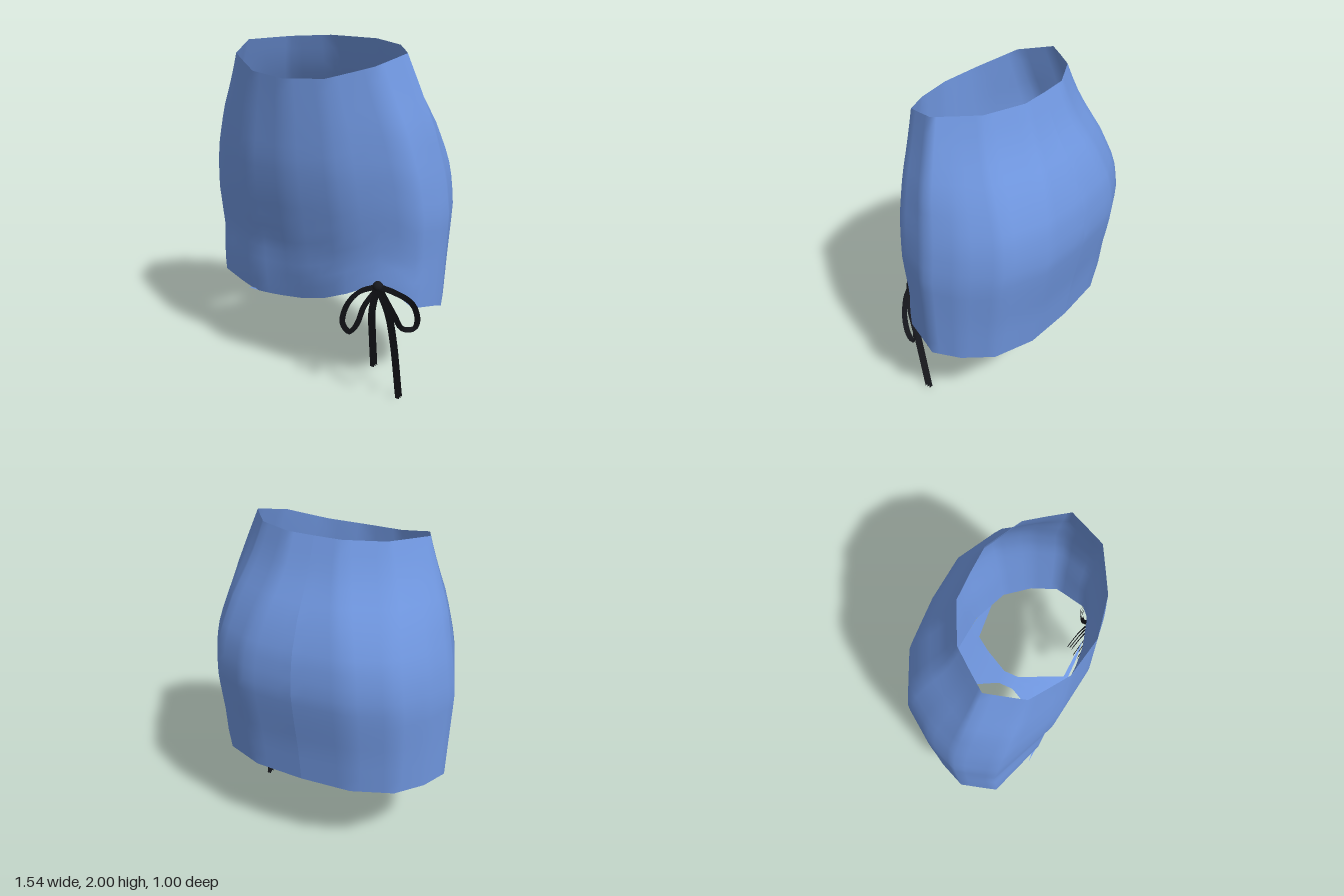
import * as THREE from 'three';

// piecewise-linear lookup in [key, value] pairs with rising keys
function lookup(table, k) {
  if (k <= table[0][0]) return table[0][1];
  for (let i = 1; i < table.length; i++) {
    const [k1, v1] = table[i], [k0, v0] = table[i - 1];
    if (k <= k1) return v0 + (v1 - v0) * (k - k0) / (k1 - k0);
  }
  return table[table.length - 1][1];
}

// silhouette by height
const SIDE = [[0.5, 0.745], [0.8, 0.757], [1.1, 0.77], [1.3, 0.745], [1.6, 0.68], [1.8, 0.605], [1.98, 0.535]];
const FRONT = [[0.5, 0.35], [0.75, 0.4], [0.85, 0.408], [0.92, 0.43], [1, 0.443], [1.2, 0.48], [1.38, 0.5], [1.85, 0.5]];
const BACK = [[0.55, -0.395], [0.8, -0.43], [1, -0.47], [1.18, -0.5], [1.4, -0.48], [1.6, -0.4], [1.8, -0.28], [2, -0.2]];
const MIDDLE = [[1.3, 0.03], [1.98, 0.12]];

// half outline from front centre to back centre: [x, z] in units of the silhouette
const BODY = [[0, 1], [0.43, 0.91], [0.9, 0.53], [1, 0], [0.91, -0.38], [0.74, -0.74], [0.42, -0.96], [0, -1]];
const WAIST = [[0, 1], [0.41, 0.89], [0.83, 0.55], [1, 0], [0.86, -0.31], [0.7, -0.65], [0.3, -0.99], [0, -1]];
const FOOT = [[0, 1], [0.43, 1.03], [0.91, 0.65], [1, 0], [0.91, -0.38], [0.74, -0.74], [0.42, -0.96], [0, -1]];
const RIM_Y = [1.85, 1.865, 1.93, 1.98, 1.985, 1.99, 2, 2];

// front hem height along x, gathered up at the bow
const HEM = [[-0.75, 0.55], [-0.7, 0.525], [-0.45, 0.495], [-0.2, 0.505], [0, 0.53], [0.15, 0.57],
  [0.35, 0.66], [0.5, 0.735], [0.54, 0.74], [0.62, 0.66], [0.68, 0.6], [0.745, 0.555]];

const SUB = 4, HALF = 7 * SUB, ROWS = 18;

function outline(pattern, u) {
  const i = Math.min(Math.floor(u), 6), f = u - i;
  return pattern[i].map((v, n) => v + (pattern[i + 1][n] - v) * f);
}

function skirtPoint(u, sign, y) {
  const up = THREE.MathUtils.smoothstep(y, 1.3, 1.9);
  const down = 1 - THREE.MathUtils.smoothstep(y, 0.5, 0.9);
  const waist = outline(WAIST, u), foot = outline(FOOT, u);
  const [px, pz] = outline(BODY, u).map((v, n) => v + (waist[n] - v) * up + (foot[n] - v) * down);
  const mid = lookup(MIDDLE, y);
  const reach = pz > 0 ? lookup(FRONT, y) - mid : mid - lookup(BACK, y);
  const x = sign * px * lookup(SIDE, y);
  let z = mid + pz * reach;
  // cloth pulled outward where the bow gathers it
  if (pz > 0) z += 0.035 * Math.exp(-((x - 0.53) ** 2) / 0.015 - ((y - 0.74) ** 2) / 0.03);
  return [x, y, z];
}

// grid of rows joined into one surface
function surface(rows) {
  const n = rows[0].length, index = [];
  for (let r = 0; r < rows.length - 1; r++) {
    for (let c = 0; c < n - 1; c++) {
      const a = r * n + c, b = a + n;
      index.push(a, b, a + 1, b, b + 1, a + 1);
    }
  }
  const g = new THREE.BufferGeometry();
  g.setAttribute('position', new THREE.Float32BufferAttribute(rows.flat(2), 3));
  g.setIndex(index);
  g.computeVertexNormals();
  return g;
}

function skirtGeometry() {
  const rows = Array.from({ length: ROWS + 1 }, () => []);
  for (let c = -HALF; c <= HALF; c++) {
    const u = Math.abs(c) / SUB, sign = c < 0 ? -1 : 1;
    const i = Math.min(Math.floor(u), 6);
    const top = RIM_Y[i] + (RIM_Y[i + 1] - RIM_Y[i]) * (u - i);
    const hem = u < 3 ? lookup(HEM, skirtPoint(u, sign, 0.6)[0]) : 0.548;
    for (let r = 0; r <= ROWS; r++) {
      rows[r].push(skirtPoint(u, sign, top + (hem - top) * r / ROWS));
    }
  }
  return surface(rows);
}

// hourglass strip between the legs, joined to the hem at both ends
function gussetGeometry() {
  const across = [-1, -0.7, -0.35, 0, 0.35, 0.7, 1];
  const backZ = [[0, -0.395], [0.31, -0.378], [0.45, -0.325]];
  const frontZ = [[0, 0.352], [0.32, 0.36], [0.42, 0.35]];
  const stations = [[-0.3, 0.2, 0.56], [-0.2, 0.13, 0.57], [-0.04, 0.045, 0.58], [0.06, 0.045, 0.58]];
  return surface([
    across.map((s) => [0.45 * s, 0.55, lookup(backZ, Math.abs(0.45 * s))]),
    ...stations.map(([z, w, y]) => across.map((s) => [w * s, y, z])),
    across.map((s) => [0.17 * s, lookup(HEM, 0.17 * s) + 0.02, 0.33]),
    across.map((s) => [0.42 * s, lookup(HEM, 0.42 * s), lookup(frontZ, Math.abs(0.42 * s))]),
  ]);
}

// flat ribbon along a path, its width lying in the front plane
function ribbon(points, width, shift) {
  const curve = new THREE.CatmullRomCurve3(points.map(([x, y, z]) => new THREE.Vector3(x, y, z + shift)));
  const rows = [];
  for (let i = 0; i <= 24; i++) {
    const p = curve.getPoint(i / 24), t = curve.getTangent(i / 24);
    const k = width / 2 / Math.hypot(t.x, t.y);
    rows.push([-1, 1].map((s) => [p.x - s * t.y * k, p.y + s * t.x * k, p.z]));
  }
  return surface(rows);
}

// bow pieces: gap between ribbon layers, then the path
const BOW = {
  innerLoop: [0.01, [[0.53, 0.745, 0.38], [0.42, 0.69, 0.395], [0.335, 0.58, 0.395], [0.305, 0.46, 0.385],
    [0.345, 0.417, 0.38], [0.4, 0.48, 0.385], [0.45, 0.61, 0.39], [0.53, 0.735, 0.38]]],
  outerLoop: [0.01, [[0.53, 0.745, 0.38], [0.62, 0.715, 0.345], [0.695, 0.65, 0.29], [0.715, 0.55, 0.255],
    [0.69, 0.475, 0.245], [0.635, 0.475, 0.28], [0.605, 0.57, 0.325], [0.54, 0.735, 0.38]]],
  shortTail: [0.018, [[0.53, 0.74, 0.385], [0.49, 0.58, 0.37], [0.48, 0.42, 0.345], [0.475, 0.21, 0.315]]],
  longTail: [0.018, [[0.535, 0.74, 0.385], [0.58, 0.6, 0.355], [0.592, 0.4, 0.305], [0.6, 0, 0.235]]],
};

function material(name, color) {
  const m = new THREE.MeshStandardMaterial({ color, side: THREE.DoubleSide });
  m.name = name;
  return m;
}

export function createModel() {
  const model = new THREE.Group();
  const cloth = material('blueCloth', 0x7097e0);
  const lace = material('blackLace', 0x17181d);
  const add = (name, geometry, mat, parent) => {
    const mesh = new THREE.Mesh(geometry, mat);
    mesh.name = name;
    parent.add(mesh);
    return mesh;
  };

  add('skirt', skirtGeometry(), cloth, model);
  add('gusset', gussetGeometry(), cloth, model);

  // bow at the gathered hem, each piece made of three layered ribbons
  const bow = new THREE.Group();
  bow.name = 'bow';
  model.add(bow);
  const knot = add('knot', new THREE.SphereGeometry(0.03, 10, 8), lace, bow);
  knot.position.set(0.53, 0.745, 0.38);
  for (const [name, [gap, path]] of Object.entries(BOW)) {
    for (const layer of [-1, 0, 1]) add(name, ribbon(path, 0.026, layer * gap), lace, bow);
  }

  return model;
}
